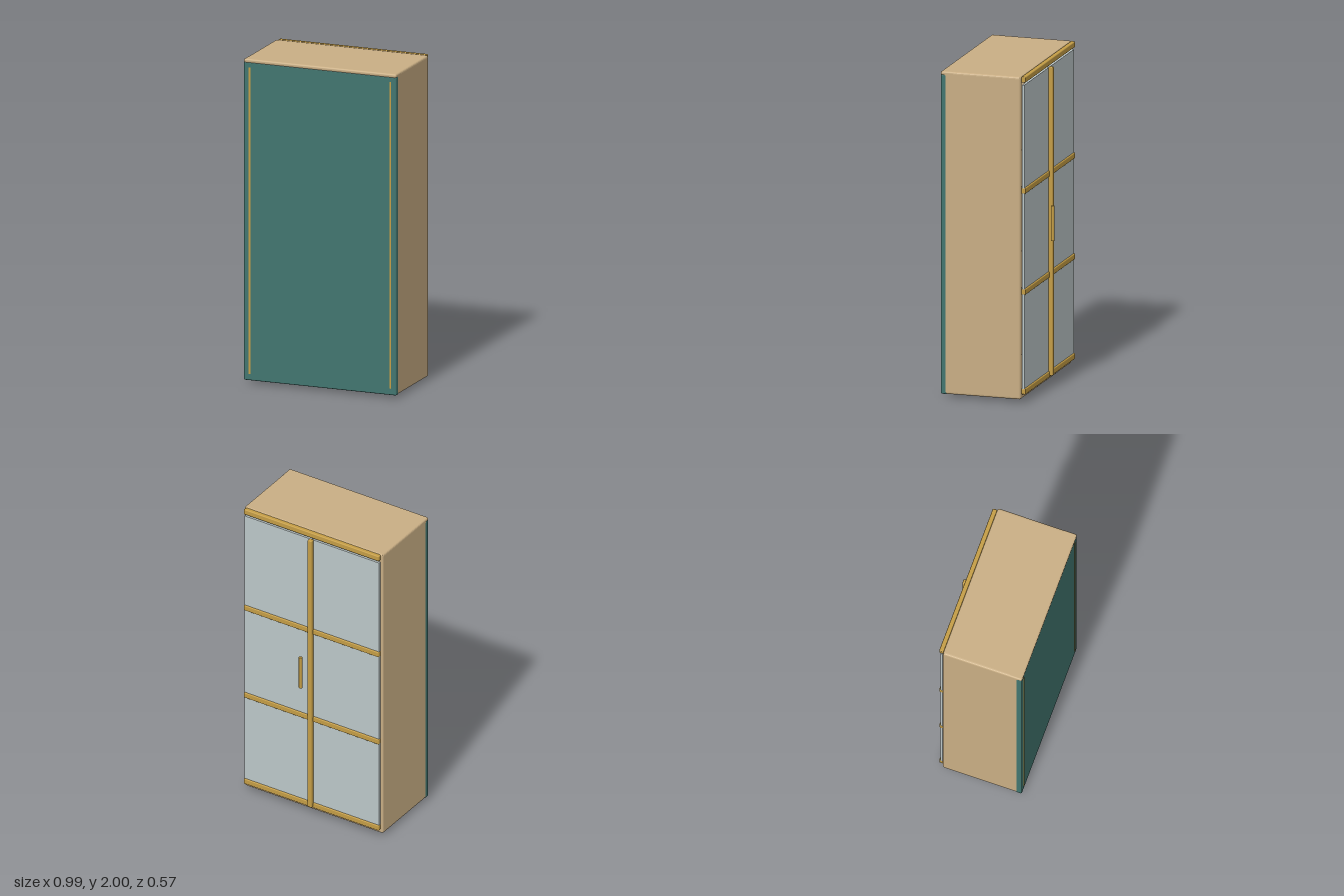
import * as THREE from 'three';
import { RoundedBoxGeometry } from 'three/addons/geometries/RoundedBoxGeometry.js';

const mat = (name, color) => {
  const m = new THREE.MeshStandardMaterial({ color });
  m.name = name;
  return m;
};

function roundedRect(path, x0, y0, x1, y1, r) {
  path.moveTo(x0 + r, y0);
  path.lineTo(x1 - r, y0);
  path.quadraticCurveTo(x1, y0, x1, y0 + r);
  path.lineTo(x1, y1 - r);
  path.quadraticCurveTo(x1, y1, x1 - r, y1);
  path.lineTo(x0 + r, y1);
  path.quadraticCurveTo(x0, y1, x0, y1 - r);
  path.lineTo(x0, y0 + r);
  path.quadraticCurveTo(x0, y0, x0 + r, y0);
  return path;
}

export function createModel() {
  const wood = mat('tan wood', 0xc9ae84);
  const teal = mat('teal panel', 0x41756f);
  const brass = mat('brass', 0xc49d45);
  const glass = mat('pale glass', 0xbcc7c8);

  const model = new THREE.Group();
  model.name = 'cabinet';

  const add = (name, geometry, material, x = 0, y = 0, z = 0) => {
    const mesh = new THREE.Mesh(geometry, material);
    mesh.name = name;
    mesh.position.set(x, y, z);
    model.add(mesh);
    return mesh;
  };
  // Box given by its limits on each axis; r rounds the edges
  const block = (name, material, [x0, x1], [y0, y1], [z0, z1], r = 0) => {
    const size = [x1 - x0, y1 - y0, z1 - z0];
    const geometry = r ? new RoundedBoxGeometry(...size, 3, r) : new THREE.BoxGeometry(...size);
    return add(name, geometry, material, (x0 + x1) / 2, (y0 + y1) / 2, (z0 + z1) / 2);
  };

  // Carcass: sides, top and bottom as one hollow frame
  const W = 0.493, bevel = 0.01;
  const outline = roundedRect(new THREE.Shape(), -W, 0.02, W, 2, 0.014);
  outline.holes.push(roundedRect(new THREE.Path(), -W + 0.035, 0.055, W - 0.035, 1.965, 0.002));
  const frame = new THREE.ExtrudeGeometry(outline, {
    depth: 0.48 - 2 * bevel, bevelEnabled: true, bevelThickness: bevel,
    bevelSize: bevel, bevelOffset: -bevel, bevelSegments: 3, curveSegments: 4,
  });
  add('carcass', frame, wood, 0, 0, -0.215 + bevel);
  block('topBoard', wood, [-W, W], [1.975, 2], [0.2, 0.286], 0.01);

  // Teal panel closing the front, with two inlaid strips
  block('frontPanel', teal, [-W - 0.0005, W + 0.0005], [0.0195, 1.982], [0.248, 0.285], 0.008);
  for (const s of [-1, 1]) {
    block('inlayStrip', brass, [s * 0.455 - 0.005, s * 0.455 + 0.005], [0.06, 1.95], [0.28, 0.2865]);
  }

  // Shelves inside
  for (const y of [0.68, 1.3]) {
    block('shelf', wood, [-0.46, 0.46], [y - 0.0125, y + 0.0125], [-0.2, 0.25]);
  }

  // Glazed doors at the back
  for (const s of [-1, 1]) {
    const limits = s > 0 ? [0.003, 0.478] : [-0.478, -0.003];
    block('glassDoor', glass, limits, [0.06, 1.95], [-0.235, -0.22]);
  }
  for (const y of [0.068, 0.68, 1.3, 1.982]) {
    block('glazingRail', brass, [-0.48, 0.48], [y - 0.018, y + 0.018], [-0.243, -0.215], 0.006);
  }
  block('centreBar', brass, [-0.015, 0.015], [0.06, 1.955], [-0.262, -0.233], 0.006);

  // Round door handle
  add('handle', new THREE.CylinderGeometry(0.011, 0.011, 0.215, 20), brass, 0.054, 1.008, -0.275);

  // Low plinth feet
  for (const s of [-1, 1]) {
    block('foot', brass, [s * 0.33 - 0.073, s * 0.33 + 0.073], [0, 0.03], [-0.12, 0.19], 0.008);
  }

  return model;
}
